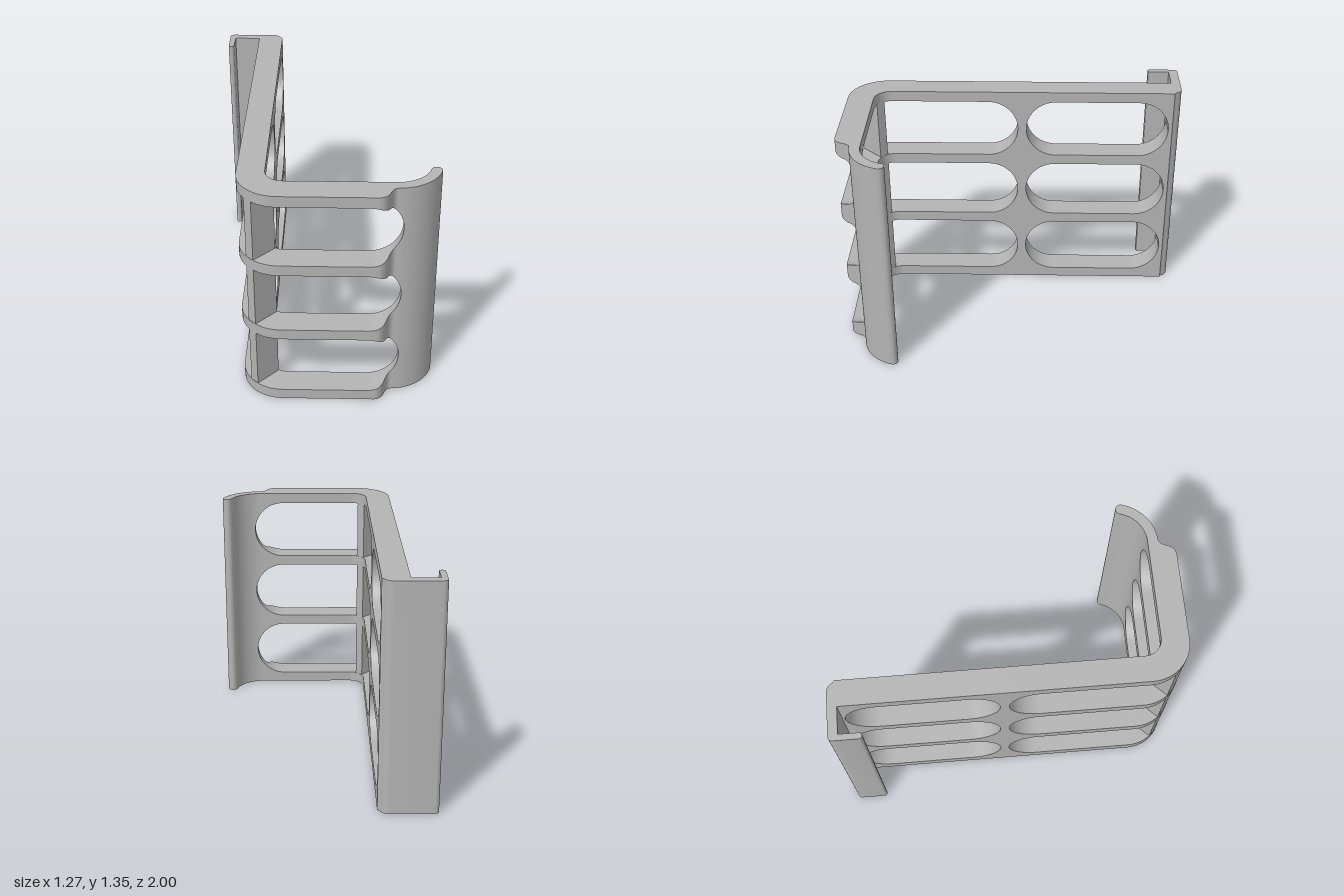
import * as THREE from 'three';
import { toCreasedNormals } from 'three/addons/utils/BufferGeometryUtils.js';

const H = 1.345;                       // overall height
const R = 0.1815;                      // slot half height and end radius
const BAYS = [0.246, 0.6725, 1.099];   // slot centre heights
const LIP = { x: 0.395, z: 0.655, inner: 0.19, outer: 0.25 };

// Extrude a plan outline of [x, z] points upwards from y0 to y1
function extrudePlan(points, y0, y1) {
  const shape = new THREE.Shape(points.map(([x, z]) => new THREE.Vector2(x, -z)));
  const geo = new THREE.ExtrudeGeometry(shape, { depth: y1 - y0, bevelEnabled: false });
  geo.rotateX(-Math.PI / 2).translate(0, y0, 0);
  return toCreasedNormals(geo, 0.6);
}

// Points of a plan arc, angles in degrees from +x towards +z
function arc(cx, cz, r, a0, a1, n) {
  return Array.from({ length: n + 1 }, (_, k) => {
    const a = THREE.MathUtils.degToRad(a0 + (a1 - a0) * k / n);
    return [cx + r * Math.cos(a), cz + r * Math.sin(a)];
  });
}

// Front plate's outer face: rounded step that runs into the lip
const STEP = [[0.3, 1], [0.318, 0.997], [0.335, 0.987], [0.348, 0.973], [0.356, 0.957],
  [0.363, 0.938], [0.372, 0.921], [0.384, 0.91], [0.4, 0.905]];
function outerZ(x) {
  if (x <= 0.3) return 1;
  if (x >= 0.4) return LIP.z + Math.sqrt(LIP.outer ** 2 - (x - LIP.x) ** 2);
  const k = STEP.findIndex(p => p[0] >= x);
  const [a, b] = [STEP[k - 1], STEP[k]];
  return a[1] + (b[1] - a[1]) * (x - a[0]) / (b[0] - a[0]);
}
const innerZ = x => x < LIP.x ? 0.845 : LIP.z + Math.sqrt(LIP.inner ** 2 - (x - LIP.x) ** 2);

// Wall cross-sections from hook to lip: outer point, inner point, slot half height
function wallSections() {
  const list = [];
  const add = (o, i, h) => list.push({ o, i, h });
  const N = 20;
  const arm = (z, h) => add([-0.445, z], [-0.295, z], h);
  const roundEnd = (centre, from, to) => {
    for (let k = 0; k <= N; k++) {
      const a = (from + (to - from) * k / N) * Math.PI / 2;
      arm(centre + R * Math.sin(a), Math.abs(from + (to - from) * k / N) === 1 ? 0 : R * Math.cos(a));
    }
  };
  // Side arm with a closed slot, then the slot that runs to the corner
  arm(-0.945, 0);
  roundEnd(-0.75, -1, 0);
  roundEnd(-0.245, 0, 1);
  roundEnd(0.17, -1, 0);
  // Rounded corner
  const outer = arc(-0.215, 0.77, 0.23, 180, 90, 16);
  const inner = arc(-0.195, 0.745, 0.1, 180, 90, 16);
  outer.forEach((o, k) => add(o, inner[k], R));
  // Front plate up to the slot's round end
  const cx = 0.2535, xs = STEP.map(p => p[0]);
  for (let k = 0; k <= N; k++) xs.push(cx + R * Math.sin(k / N * Math.PI / 2));
  xs.sort((a, b) => a - b).forEach(x =>
    add([x, outerZ(x)], [x, innerZ(x)], x >= cx + R - 1e-6 ? 0 : Math.sqrt(R * R - (x - cx) ** 2)));
  // Curved lip with a round edge
  const end = 1.29, start = 0.24;
  for (let k = 0; k <= 16; k++) {
    const a = start + (end - start) * k / 16;
    const at = r => [LIP.x + r * Math.sin(a), LIP.z + r * Math.cos(a)];
    add(at(LIP.outer), at(LIP.inner), 0);
  }
  const s = Math.sin(end), c = Math.cos(end);
  for (let k = 1; k <= 10; k++) {
    const t = k / 10 * Math.PI / 2, side = 0.03 * Math.cos(t), out = 0.03 * Math.sin(t);
    const at = r => [LIP.x + r * s + out * c, LIP.z + r * c - out * s];
    add(at(0.22 + side), at(0.22 - side), 0);
  }
  return list;
}

// Loft the four rails, which merge wherever the slots close
function wallGeometry() {
  const pos = [];
  const quad = (a, b, c, d) => pos.push(...a, ...b, ...c, ...a, ...c, ...d);
  const sections = wallSections();
  for (let rail = 0; rail <= BAYS.length; rail++) {
    const first = rail === 0, last = rail === BAYS.length;
    const corners = ({ o, i, h }) => {
      const lo = first ? 0 : BAYS[rail - 1] + h;
      const hi = last ? H : BAYS[rail] - h;
      return { ol: [o[0], lo, o[1]], oh: [o[0], hi, o[1]], il: [i[0], lo, i[1]], ih: [i[0], hi, i[1]] };
    };
    for (let j = 0; j + 1 < sections.length; j++) {
      const A = corners(sections[j]), B = corners(sections[j + 1]);
      const open = sections[j].h > 0 || sections[j + 1].h > 0;
      quad(A.ol, B.ol, B.oh, A.oh);
      quad(A.il, A.ih, B.ih, B.il);
      if (last || open) quad(A.oh, B.oh, B.ih, A.ih);
      if (first || open) quad(A.ol, A.il, B.il, B.ol);
    }
  }
  const geo = new THREE.BufferGeometry();
  geo.setAttribute('position', new THREE.Float32BufferAttribute(pos, 3));
  return toCreasedNormals(geo, 0.6);
}

export function createModel() {
  const model = new THREE.Group();
  model.name = 'slottedBracket';
  const grey = new THREE.MeshStandardMaterial({ color: 0xb4b4b4 });
  grey.name = 'grey';
  const add = (name, geo) => {
    const mesh = new THREE.Mesh(geo, grey);
    mesh.name = name;
    model.add(mesh);
  };

  // Slotted wall: side arm, corner, front plate and lip
  add('slottedWall', wallGeometry());

  // Hook along the back edge
  add('backHook', extrudePlan([
    [-0.445, -0.945], [-0.6, -0.945], [-0.6, -0.82],
    ...arc(-0.6175, -0.8325, 0.0175, 0, 180, 8),
    ...arc(-0.61, -0.975, 0.025, 180, 270, 6),
    ...arc(-0.36, -0.945, 0.055, 270, 340, 8),
    [-0.295, -0.955], [-0.295, -0.945],
  ], 0, H));

  // Thin post set diagonally in the corner
  const w = 0.02;
  add('cornerPost', extrudePlan([
    [-0.376 - w, 0.931 - w], [-0.376 + w, 0.931 + w],
    [-0.266 + w, 0.816 + w], [-0.266 - w, 0.816 - w],
  ], 0.03, H - 0.03));

  return model;
}
